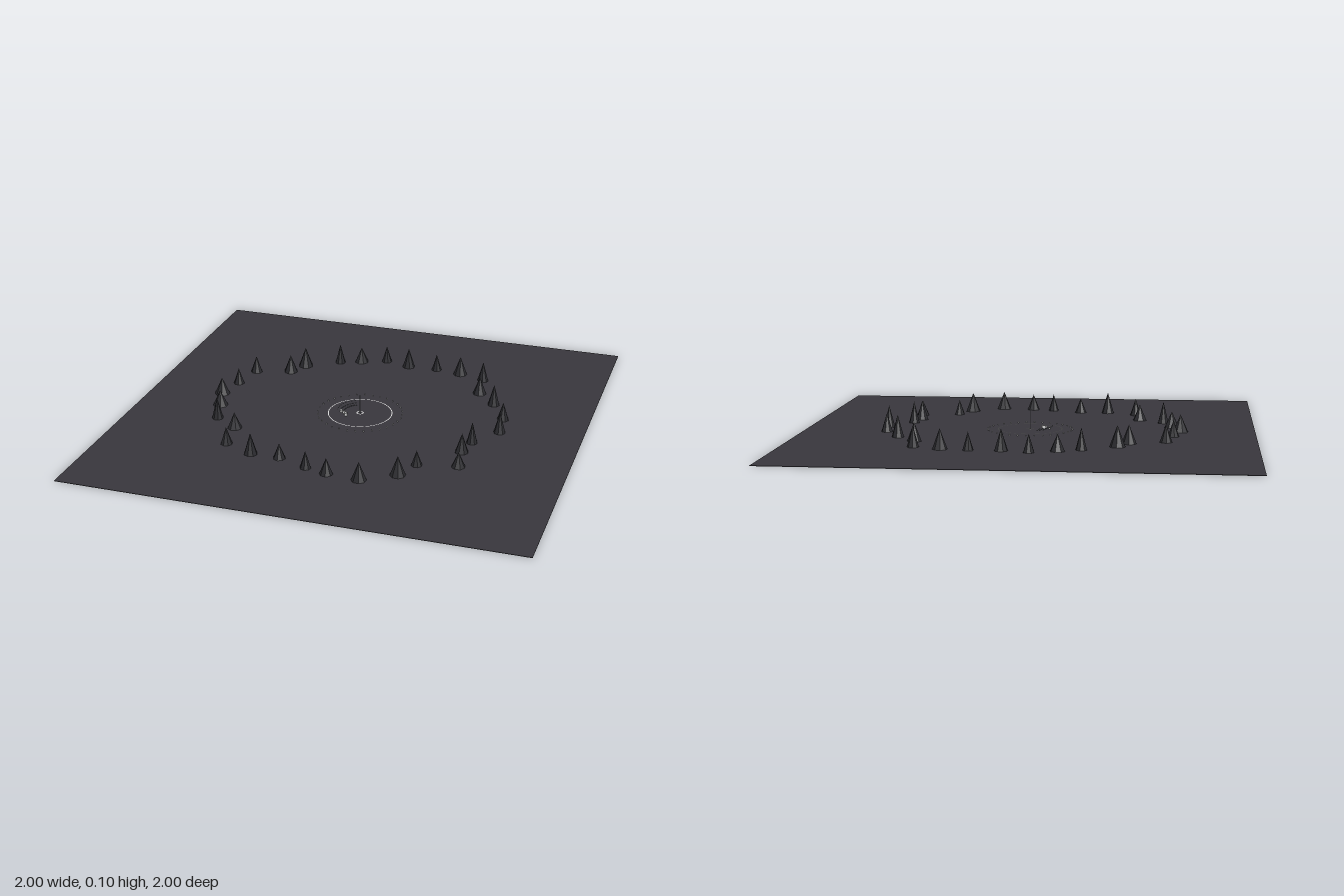
import * as THREE from 'three';

const material = (name, color) => {
  const m = new THREE.MeshStandardMaterial({ color });
  m.name = name;
  return m;
};

// Each tree: x, z, base radius, height
const TREES = [
  [0.64, 0, 0.027, 0.1], [0.55, 0.135, 0.025, 0.1], [0.53, 0.235, 0.03, 0.09],
  [0.55, 0.37, 0.031, 0.07], [0.38, 0.41, 0.025, 0.07], [0.33, 0.52, 0.035, 0.09],
  [0.19, 0.61, 0.034, 0.085], [0.045, 0.6, 0.03, 0.075], [-0.055, 0.575, 0.025, 0.08],
  [-0.19, 0.525, 0.028, 0.07], [-0.32, 0.525, 0.03, 0.1], [-0.455, 0.465, 0.027, 0.08],
  [-0.48, 0.31, 0.033, 0.075], [-0.59, 0.24, 0.026, 0.1], [-0.63, 0.11, 0.035, 0.075],
  [-0.67, -0.01, 0.036, 0.08], [-0.64, -0.14, 0.026, 0.075], [-0.61, -0.29, 0.028, 0.08],
  [-0.455, -0.34, 0.033, 0.085], [-0.41, -0.425, 0.035, 0.095], [-0.265, -0.515, 0.025, 0.095],
  [-0.17, -0.555, 0.033, 0.075], [-0.055, -0.595, 0.025, 0.08], [0.063, -0.565, 0.03, 0.095],
  [0.2, -0.57, 0.024, 0.08], [0.32, -0.555, 0.033, 0.09], [0.44, -0.515, 0.026, 0.095],
  [0.46, -0.37, 0.032, 0.085], [0.55, -0.27, 0.028, 0.1], [0.625, -0.13, 0.027, 0.085],
];

export function createModel() {
  const model = new THREE.Group();
  const ground = material('charcoal ground', 0x38363c);
  const foliage = material('dark foliage', 0x29292d);
  const pale = material('pale stone', 0xd8d8d8);
  const steel = material('grey steel', 0x777a80);

  const add = (name, geometry, mat, x, y, z, parent = model) => {
    const mesh = new THREE.Mesh(geometry, mat);
    mesh.name = name;
    mesh.position.set(x, y, z);
    parent.add(mesh);
    return mesh;
  };
  const group = (name) => {
    const g = new THREE.Group();
    g.name = name;
    model.add(g);
    return g;
  };

  // Flat square site
  add('ground', new THREE.BoxGeometry(2, 0.002, 2), ground, 0, 0.001, 0);

  // Loose ring of conical trees
  const trees = group('treeRing');
  TREES.forEach(([x, z, r, h], i) => {
    const cone = new THREE.ConeGeometry(r, h, 8).toNonIndexed();
    cone.computeVertexNormals();
    add('tree', cone, foliage, x, h / 2, z, trees).rotation.y = i * 0.7;
  });

  // Painted circles
  const circle = (name, r, w) => {
    const g = new THREE.RingGeometry(r - w / 2, r + w / 2, 64).rotateX(-Math.PI / 2);
    add(name, g, pale, 0, 0.004, 0);
  };
  circle('outerCircle', 0.143, 0.004);
  circle('centreCircle', 0.014, 0.005);

  // Small marker lamps around the circle
  const lamps = group('markerLamps');
  for (let i = 0; i < 32; i++) {
    const a = (i / 32) * Math.PI * 2;
    add('lamp', new THREE.BoxGeometry(0.003, 0.008, 0.003), pale,
      Math.cos(a) * 0.19, 0.005, Math.sin(a) * 0.19, lamps);
  }

  // Slim central mast
  add('mast', new THREE.CylinderGeometry(0.002, 0.002, 0.088, 8), steel, 0, 0.046, 0);

  // Curved rows of tiny seats stepping up away from the centre
  const seats = group('seatRows');
  for (let row = 0; row < 3; row++) {
    const r = 0.075 + row * 0.013;
    for (let i = 0; i < 9; i++) {
      const a = Math.PI * (0.93 + i * 0.05);
      add('seat', new THREE.BoxGeometry(0.003, 0.003, 0.006), steel,
        Math.cos(a) * r, 0.008 + row * 0.005, Math.sin(a) * r, seats).rotation.y = -a;
    }
  }

  // Low pale blocks beside the seats
  const blocks = group('lowBlocks');
  [[-0.085, 0.015], [-0.07, 0.025], [-0.058, 0.033], [-0.052, 0.044]].forEach(([x, z]) =>
    add('block', new THREE.BoxGeometry(0.01, 0.012, 0.008), pale, x, 0.008, z, blocks));

  return model;
}
